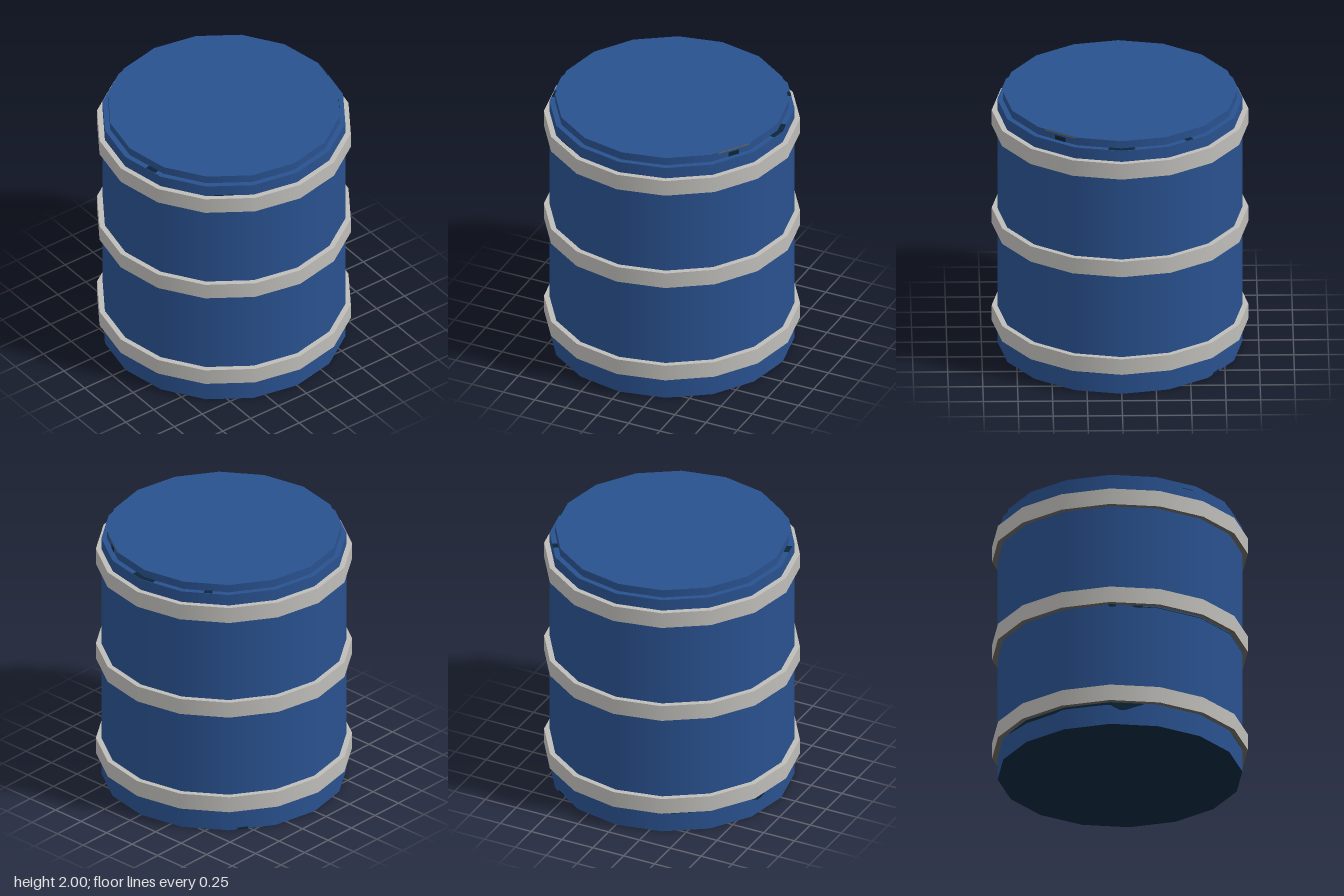
import * as THREE from 'three';

const SIDES = 16;
const BODY_R = 0.885, LID_R = 0.845, BAND_R = 0.925;
const LEDGE_Y = 1.94;

// Point on a 16-sided outline at an angle in degrees (0 = front, 90 = +x)
function outline(radius, deg, y) {
  const step = 360 / SIDES;
  const local = THREE.MathUtils.euclideanModulo(deg, step) - step / 2;
  const r = radius * Math.cos(Math.PI / SIDES) / Math.cos(THREE.MathUtils.degToRad(local));
  const a = THREE.MathUtils.degToRad(deg);
  return [r * Math.sin(a), y, r * Math.cos(a)];
}

// Thin skin between an upper and a lower edge, following the drum's facets
function skin(from, to, upper, lower) {
  const angles = [from];
  for (let a = Math.floor(from / 2.25 + 1) * 2.25; a < to; a += 2.25) angles.push(a);
  angles.push(to);
  const positions = [], index = [];
  angles.forEach((a, i) => {
    positions.push(...upper(a), ...lower(a));
    if (i) {
      const k = i * 2;
      index.push(k - 2, k - 1, k + 1, k - 2, k + 1, k);
    }
  });
  const geometry = new THREE.BufferGeometry();
  geometry.setAttribute('position', new THREE.Float32BufferAttribute(positions, 3));
  geometry.setIndex(index);
  geometry.computeVertexNormals();
  return geometry;
}

// Depth of a stain at an angle, from [angle, depth] points
function depthAt(points, a) {
  for (let i = 1; i < points.length; i++) {
    const [a0, d0] = points[i - 1], [a1, d1] = points[i];
    if (a <= a1) return THREE.MathUtils.mapLinear(a, a0, a1, d0, d1);
  }
  return points[points.length - 1][1];
}

function flatColour(name, color) {
  const material = new THREE.MeshStandardMaterial({ color });
  material.name = name;
  return material;
}

export function createModel() {
  const model = new THREE.Group();
  model.name = 'drum';

  const blue = flatColour('blue paint', 0x29518f);
  const grey = flatColour('grey metal', 0xbebdb9);
  const shade = flatColour('dark grey metal', 0x66655f);
  const dark = flatColour('dark navy stain', 0x0a2639);
  dark.side = THREE.DoubleSide;

  const add = (name, geometry, material) => {
    const mesh = new THREE.Mesh(geometry, material);
    mesh.name = name;
    model.add(mesh);
    return mesh;
  };
  // Sixteen-sided drum section with its own colour underneath
  const drum = (name, radius, y0, y1, paint, underside) => {
    const geometry = new THREE.CylinderGeometry(radius, radius, y1 - y0, SIDES);
    add(name, geometry, [paint, paint, underside]).position.y = (y0 + y1) / 2;
  };

  // Body with a dark base, and stepped lid
  drum('body', BODY_R, 0, LEDGE_Y, blue, dark);
  drum('lid', LID_R, LEDGE_Y - 0.02, 2, blue, blue);

  // Three metal bands
  [['lowerBand', 0.171], ['middleBand', 0.951], ['upperBand', 1.731]].forEach(([name, y]) =>
    drum(name, BAND_R, y, y + 0.123, grey, shade));

  // Stains on the walls: name, wall radius, top height, [angle, depth] points
  const stains = [
    ['lowerStain', BODY_R, 0.172, [[-84, 0.008], [-68, 0.026], [-50, 0.024], [-47, 0.016],
      [-23, 0.018], [-19, 0.056], [-17, 0.062], [-15, 0.056], [-11, 0.03], [-6.5, 0.006]]],
    ['lowerStain', BODY_R, 0.172, [[50, 0.004], [62, 0.006]]],
    ['lowerStain', BODY_R, 0.172, [[83, 0.006], [88, 0.012], [102, 0.012], [110, 0.004]]],
    ['lowerStain', BODY_R, 0.172, [[160, 0.012], [165, 0.024], [168, 0.01]]],
    ['lowerStain', BODY_R, 0.172, [[198, 0.01], [206, 0.02]]],
    ['baseStain', BODY_R, 0.016, [[229, 0.016], [234, 0.016]]],
    ['middleStain', BODY_R, 0.952, [[-23.5, 0.014], [-21.5, 0.026], [-20, 0.014]]],
    ['middleStain', BODY_R, 0.952, [[-12, 0.01], [-10, 0.022], [-7, 0.014]]],
    ['middleStain', BODY_R, 0.952, [[231, 0.012], [237, 0.012]]],
    ['scratch', BODY_R, 0.942, [[-7, 0.005], [111, 0.005]]],
    ['upperStain', BODY_R, 1.862, [[49, 0.008], [58, 0.008]]],
    ['lidStain', LID_R, 1.975, [[145, 0.035], [151, 0.035]]],
  ];
  stains.forEach(([name, radius, top, points]) => {
    const r = radius + 0.003;
    add(name, skin(points[0][0], points[points.length - 1][0],
      (a) => outline(r, a, top), (a) => outline(r, a, top - depthAt(points, a))), dark);
  });

  // Worn grey rim at the back of the lid
  add('wornRim', skin(139, 157,
    (a) => outline(LID_R + 0.003, a, 2), (a) => outline(LID_R + 0.003, a, 1.988)), shade);

  // Worn patches on the ledge around the lid
  [[173.5, 186.5], [13, 19], [213, 217]].forEach(([from, to]) =>
    add('ledgeStain', skin(from, to,
      (a) => outline(LID_R, a, LEDGE_Y + 0.003),
      (a) => outline(BODY_R, a, LEDGE_Y + 0.003)), dark));

  return model;
}
